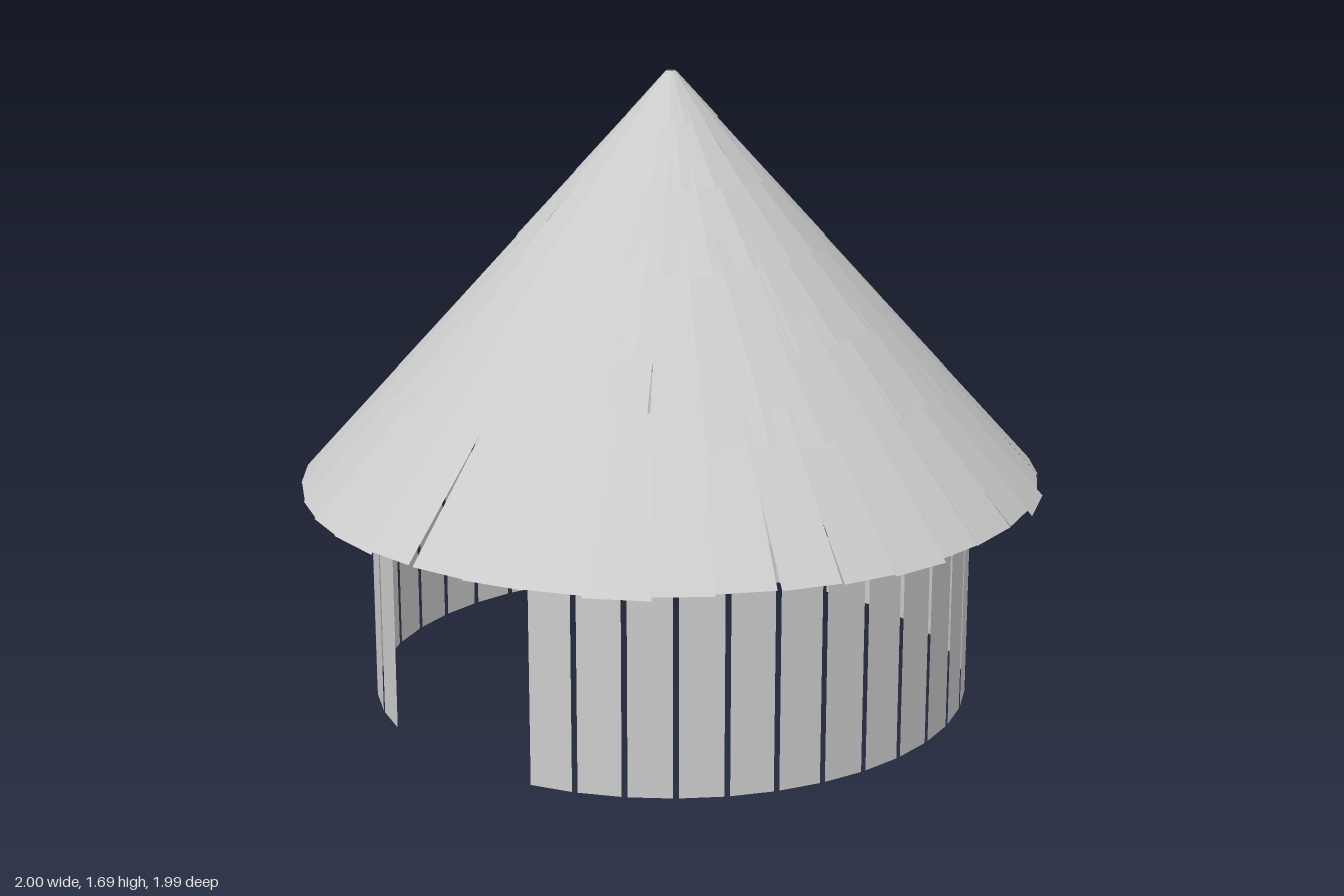
import * as THREE from 'three';

export function createModel() {
  const model = new THREE.Group();
  const grey = new THREE.MeshStandardMaterial({ color: 0xcccccc, side: THREE.DoubleSide, flatShading: true });
  grey.name = 'pale grey wood';

  // Repeatable jitter between -1 and 1
  let seed = 11;
  const jitter = () => {
    seed = (seed * 16807) % 2147483647;
    return (seed / 2147483647) * 2 - 1;
  };

  // Wall: a ring of thin flat planks, with a doorway left open at the front
  const wall = new THREE.Group();
  wall.name = 'wall';
  const pitch = Math.PI / 20;
  const wallRadius = 0.811;
  const wallHeight = 0.65;
  const plankGeometry = new THREE.PlaneGeometry(0.113, wallHeight);
  for (let i = 2; i < 38; i++) {
    const angle = (i + 0.5) * pitch - 0.01;
    const plank = new THREE.Mesh(plankGeometry, grey);
    plank.name = 'wallPlank';
    plank.position.set(Math.sin(angle) * wallRadius, wallHeight / 2, Math.cos(angle) * wallRadius);
    plank.rotation.y = angle;
    wall.add(plank);
  }
  model.add(wall);

  // Roof: overlapping rows of shingles lying on a cone
  const apex = 1.69;
  const conePoint = (angle, y, lift) => {
    const r = Math.max((apex - y) / 1.1, 0) + lift;
    return [Math.sin(angle) * r, y, Math.cos(angle) * r];
  };
  const rows = [
    { bottom: 0.595, top: 0.95, count: 40 },
    { bottom: 0.87, top: 1.12, count: 32 },
    { bottom: 1.055, top: 1.31, count: 26 },
    { bottom: 1.24, top: 1.49, count: 22 },
    { bottom: 1.42, top: 1.64, count: 18 },
    { bottom: 1.57, top: 1.688, count: 14 },
  ];
  const roof = new THREE.Group();
  roof.name = 'roof';
  rows.forEach((row, level) => {
    const step = (Math.PI * 2) / row.count;
    const positions = [];
    for (let i = 0; i < row.count; i++) {
      const angle = i * step + jitter() * step * 0.06;
      const lift = level * 0.002 + (i % 2) * 0.0012;
      const bottom = row.bottom + jitter() * 0.008;
      const upper = step * 0.56;
      // Uneven lower corners leave a few narrow wedge gaps
      const left = step * (0.53 + jitter() * 0.06);
      const right = step * (0.53 + jitter() * 0.06);
      const a = conePoint(angle - left, bottom, lift);
      const b = conePoint(angle + right, bottom, lift);
      const c = conePoint(angle + upper, row.top, lift);
      const d = conePoint(angle - upper, row.top, lift);
      positions.push(...a, ...b, ...c, ...a, ...c, ...d);
    }
    const geometry = new THREE.BufferGeometry();
    geometry.setAttribute('position', new THREE.Float32BufferAttribute(positions, 3));
    geometry.computeVertexNormals();
    const shingles = new THREE.Mesh(geometry, grey);
    shingles.name = 'roofShingleRow';
    roof.add(shingles);
  });
  model.add(roof);

  return model;
}
